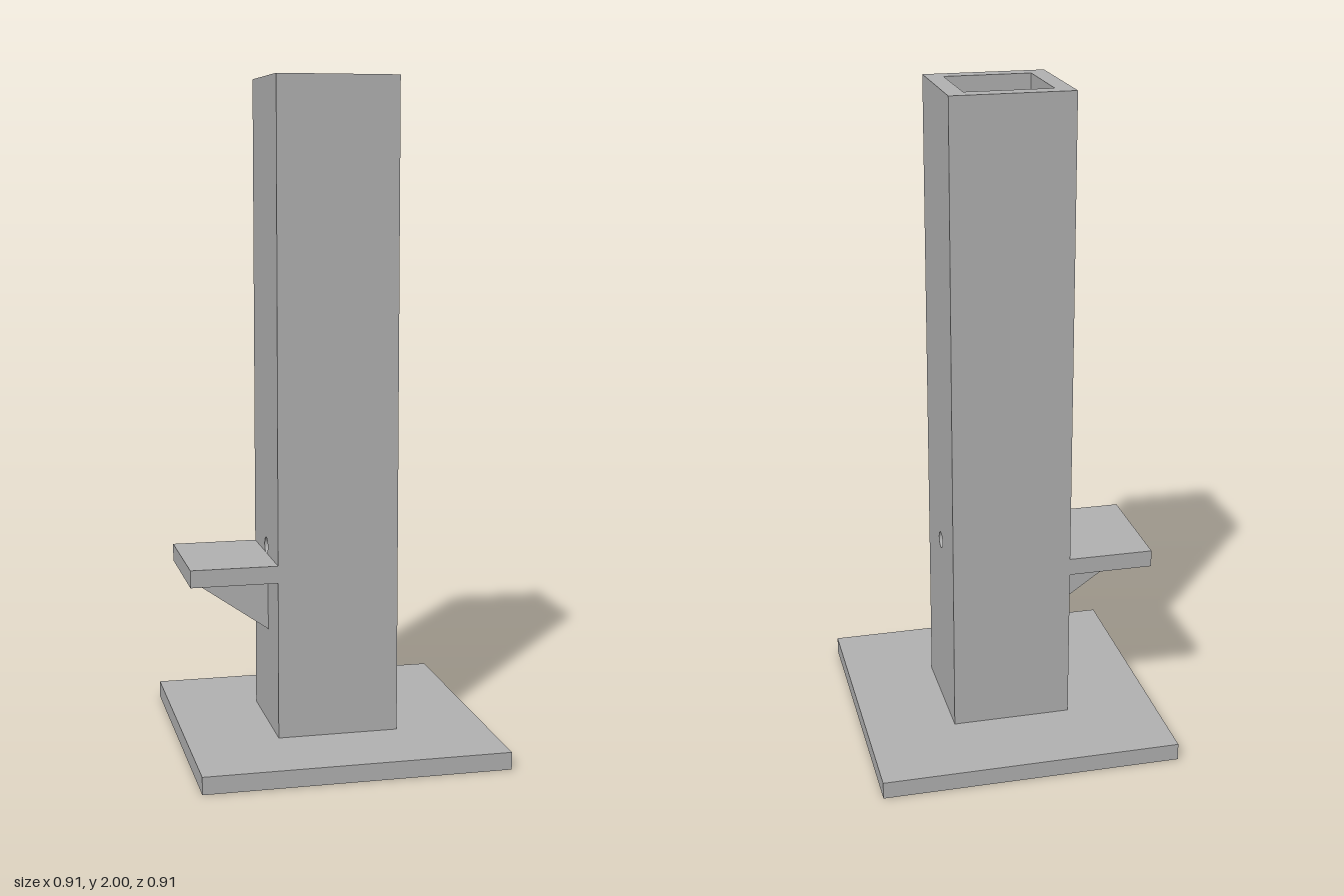
import * as THREE from 'three';

export function createModel() {
  const group = new THREE.Group();
  const grey = new THREE.MeshStandardMaterial({ color: 0xb2b2b2 });
  grey.name = 'plain grey';

  const T = 0.052;           // plate and wall thickness
  const HALF = 0.182;        // half width of the column
  const BASE = 0.91;         // base plate side
  const TOP = 2;             // column top
  const HOLE_Y = 0.6;        // height of the cross hole
  const SHELF_TOP = 0.577;
  const SHELF_LENGTH = 0.26;

  function add(name, geometry, x = 0, y = 0, z = 0) {
    const mesh = new THREE.Mesh(geometry, grey);
    mesh.name = name;
    mesh.position.set(x, y, z);
    group.add(mesh);
  }

  // Base plate
  add('basePlate', new THREE.BoxGeometry(BASE, T, BASE), 0, T / 2, 0);

  // Side walls of the hollow column, each pierced by a round hole
  const wall = new THREE.Shape([
    new THREE.Vector2(-HALF, T),
    new THREE.Vector2(HALF, T),
    new THREE.Vector2(HALF, TOP),
    new THREE.Vector2(-HALF, TOP),
  ]);
  wall.holes.push(new THREE.Path().absarc(0, HOLE_Y, 0.025, 0, Math.PI * 2, true));
  const sideWall = new THREE.ExtrudeGeometry(wall, { depth: T, bevelEnabled: false, curveSegments: 24 });
  sideWall.translate(0, 0, -T / 2).rotateY(Math.PI / 2);
  add('leftWall', sideWall, HALF - T / 2);
  add('rightWall', sideWall, -HALF + T / 2);

  // Front and back walls fit between the side walls
  const plainWall = new THREE.BoxGeometry(2 * (HALF - T), TOP - T, T);
  add('frontWall', plainWall, 0, (TOP + T) / 2, HALF - T / 2);
  add('backWall', plainWall, 0, (TOP + T) / 2, -HALF + T / 2);

  // Shelf on the right wall
  add('shelf', new THREE.BoxGeometry(SHELF_LENGTH, T, 2 * HALF),
    -HALF - SHELF_LENGTH / 2, SHELF_TOP - T / 2, 0);

  // Triangular gusset under the middle of the shelf
  const under = SHELF_TOP - T;
  const triangle = new THREE.Shape([
    new THREE.Vector2(-HALF - SHELF_LENGTH, under),
    new THREE.Vector2(-HALF, under - 0.18),
    new THREE.Vector2(-HALF, under),
  ]);
  add('gusset', new THREE.ExtrudeGeometry(triangle, { depth: T, bevelEnabled: false }), 0, 0, -T / 2);

  return group;
}
